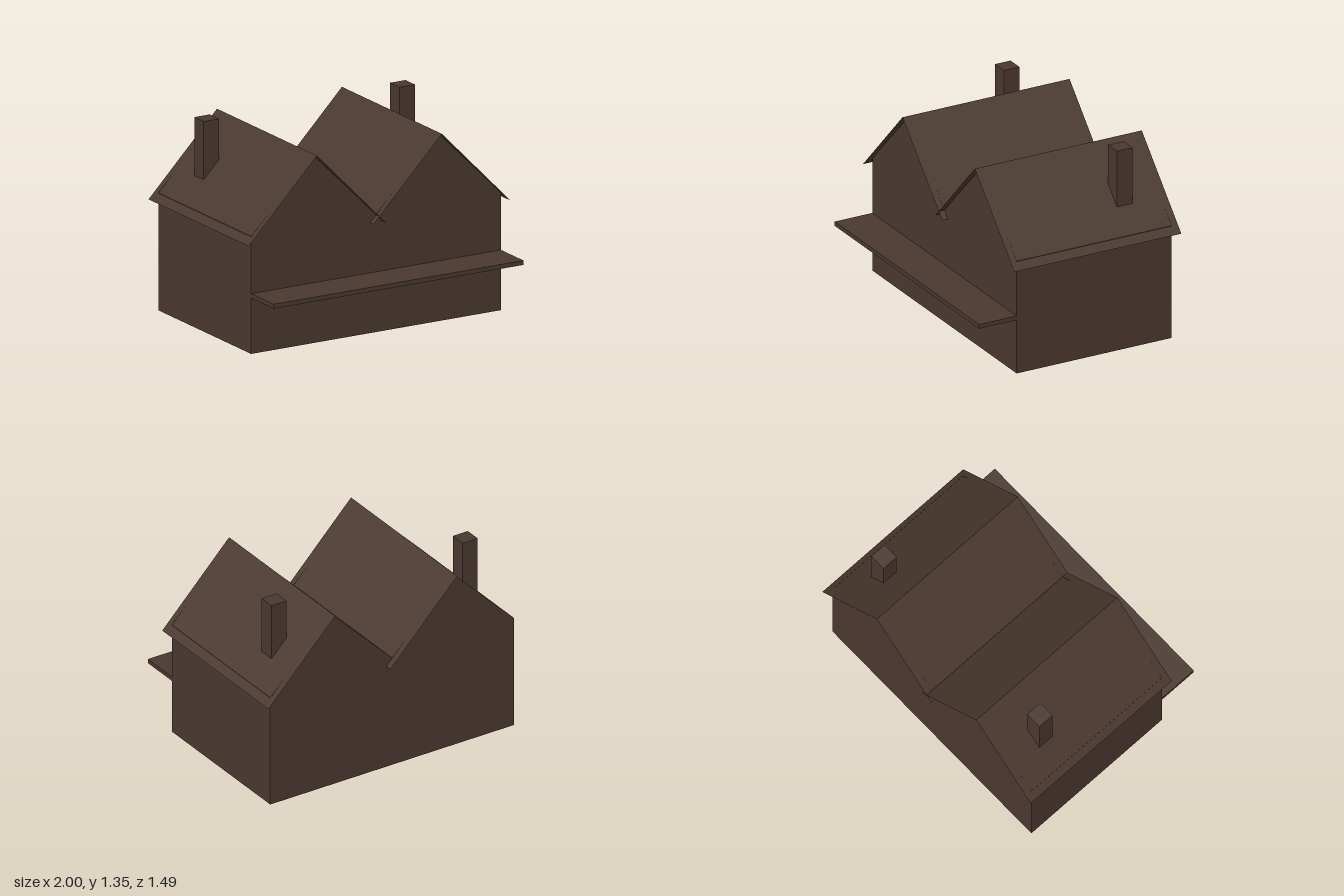
import * as THREE from 'three';

const timber = new THREE.MeshStandardMaterial({ color: 0x4a382f, side: THREE.DoubleSide });
timber.name = 'dark brown';

const HALF = 0.477;            // half width of one gabled bay
const EAVE = 0.8, PEAK = 1.277;
const BACK = -0.697, FRONT = 0.463;

function mesh(name, geometry, x = 0, y = 0, z = 0) {
  const m = new THREE.Mesh(geometry, timber);
  m.name = name;
  m.position.set(x, y, z);
  return m;
}

// Open strip of flat quads following [x, y] points, swept from z0 to z1
function strip(points, z0, z1) {
  const pos = [];
  for (let i = 0; i < points.length - 1; i++) {
    const [ax, ay] = points[i], [bx, by] = points[i + 1];
    pos.push(ax, ay, z0, ax, ay, z1, bx, by, z1);
    pos.push(ax, ay, z0, bx, by, z1, bx, by, z0);
  }
  const g = new THREE.BufferGeometry();
  g.setAttribute('position', new THREE.Float32BufferAttribute(pos, 3));
  g.computeVertexNormals();
  return g;
}

export function createModel() {
  const house = new THREE.Group();
  house.name = 'twinGabledHouse';

  const gable = new THREE.Shape([
    [-HALF, 0], [HALF, 0], [HALF, EAVE], [0, PEAK], [-HALF, EAVE],
  ].map(([x, y]) => new THREE.Vector2(x, y)));

  for (const side of [-1, 1]) {
    const bay = new THREE.Group();
    bay.name = side > 0 ? 'leftBay' : 'rightBay';
    const cx = side * HALF;

    // Gable walls, open underneath
    bay.add(mesh('frontGable', new THREE.ShapeGeometry(gable), cx, 0, FRONT));
    const back = mesh('backGable', new THREE.ShapeGeometry(gable), cx, 0, BACK);
    back.rotation.y = Math.PI;
    bay.add(back);

    // Outer side wall, wound to face outward
    const x = side * 2 * HALF;
    const wall = side > 0 ? [[x, 0], [x, EAVE]] : [[x, EAVE], [x, 0]];
    bay.add(mesh('sideWall', strip(wall.reverse(), BACK, FRONT)));

    // Thin pitched roof with overhanging eaves
    const roof = [[-0.523, 0.75], [0, 1.285], [0.523, 0.75]];
    bay.add(mesh('roof', strip(roof, -0.745, 0.507), cx));

    // Chimney on the outer slope
    bay.add(mesh('chimney', new THREE.BoxGeometry(0.117, 0.398, 0.117), side * 0.748, 1.146, -0.431));
    house.add(bay);
  }

  // Wall between the two bays
  house.add(mesh('partyWall', strip([[0, EAVE], [0, 0]], BACK, FRONT)));

  // Canopy shelf across the front
  house.add(mesh('canopy', new THREE.BoxGeometry(4 * HALF, 0.03, 0.282), 0, 0.395, 0.604));

  return house;
}
